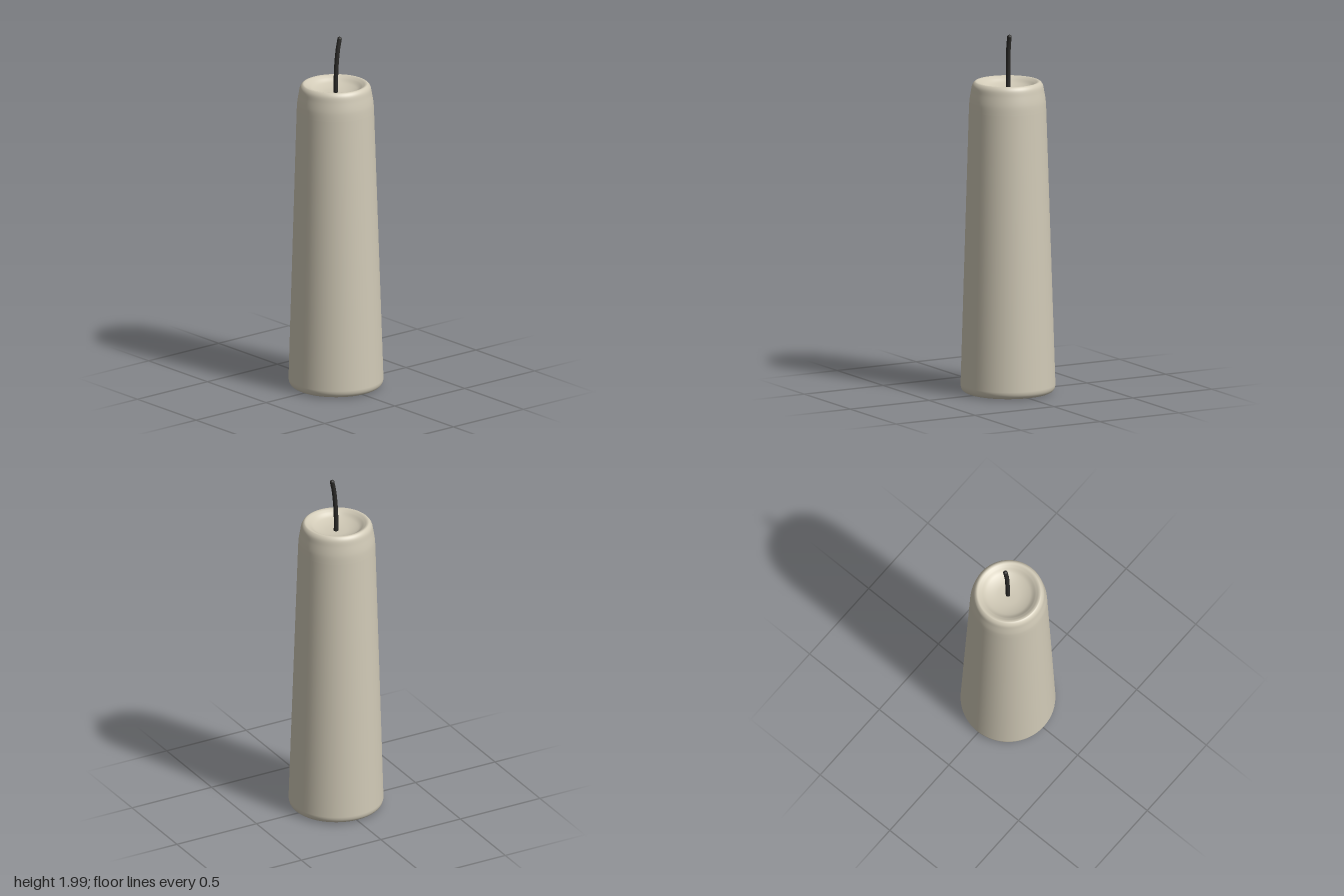
import * as THREE from 'three';

const v2 = (x, y) => new THREE.Vector2(x, y);

export function createModel() {
  const group = new THREE.Group();
  const wax = new THREE.MeshStandardMaterial({ color: 0xd0c9b6 });
  const char = new THREE.MeshStandardMaterial({ color: 0x2b2a28 });

  // Tapered wax body: flat base, rounded foot, soft shoulder and hollowed top
  const profile = new THREE.Path();
  profile.moveTo(0, 0.005);
  profile.lineTo(0.21, 0.005);
  profile.bezierCurveTo(0.245, 0.005, 0.26, 0.02, 0.26, 0.05);
  profile.lineTo(0.212, 1.58);
  profile.splineThru([v2(0.209, 1.63), v2(0.201, 1.68), v2(0.194, 1.715), v2(0.181, 1.733),
    v2(0.168, 1.735), v2(0.15, 1.725), v2(0.12, 1.704), v2(0.07, 1.69), v2(0, 1.685)]);
  const points = profile.getPoints(10).filter((p, i, a) => !i || p.distanceTo(a[i - 1]) > 1e-4);
  points[points.length - 1].x = 0;
  const bodyGeometry = new THREE.LatheGeometry(points, 64);

  // The candle leans very slightly as it rises
  const pos = bodyGeometry.attributes.position;
  for (let i = 0; i < pos.count; i++) pos.setX(i, pos.getX(i) - 0.003 * pos.getY(i));
  bodyGeometry.computeBoundingSphere();
  const body = new THREE.Mesh(bodyGeometry, wax);
  body.name = 'waxBody';
  group.add(body);

  // Burnt wick, curling towards +x, with a rounded tip
  const tip = new THREE.Vector3(0.022, 1.987, 0.004);
  const curve = new THREE.CatmullRomCurve3([
    new THREE.Vector3(0, 1.67, 0),
    new THREE.Vector3(0, 1.76, -0.001),
    new THREE.Vector3(0.004, 1.85, 0),
    new THREE.Vector3(0.011, 1.93, 0.003),
    tip,
  ]);
  const wick = new THREE.Group();
  wick.name = 'wick';
  const stem = new THREE.Mesh(new THREE.TubeGeometry(curve, 24, 0.0125, 12), char);
  stem.name = 'wickStem';
  const end = new THREE.Mesh(new THREE.SphereGeometry(0.0128, 12, 8), char);
  end.name = 'wickTip';
  end.position.copy(tip);
  wick.add(stem, end);
  group.add(wick);

  return group;
}
